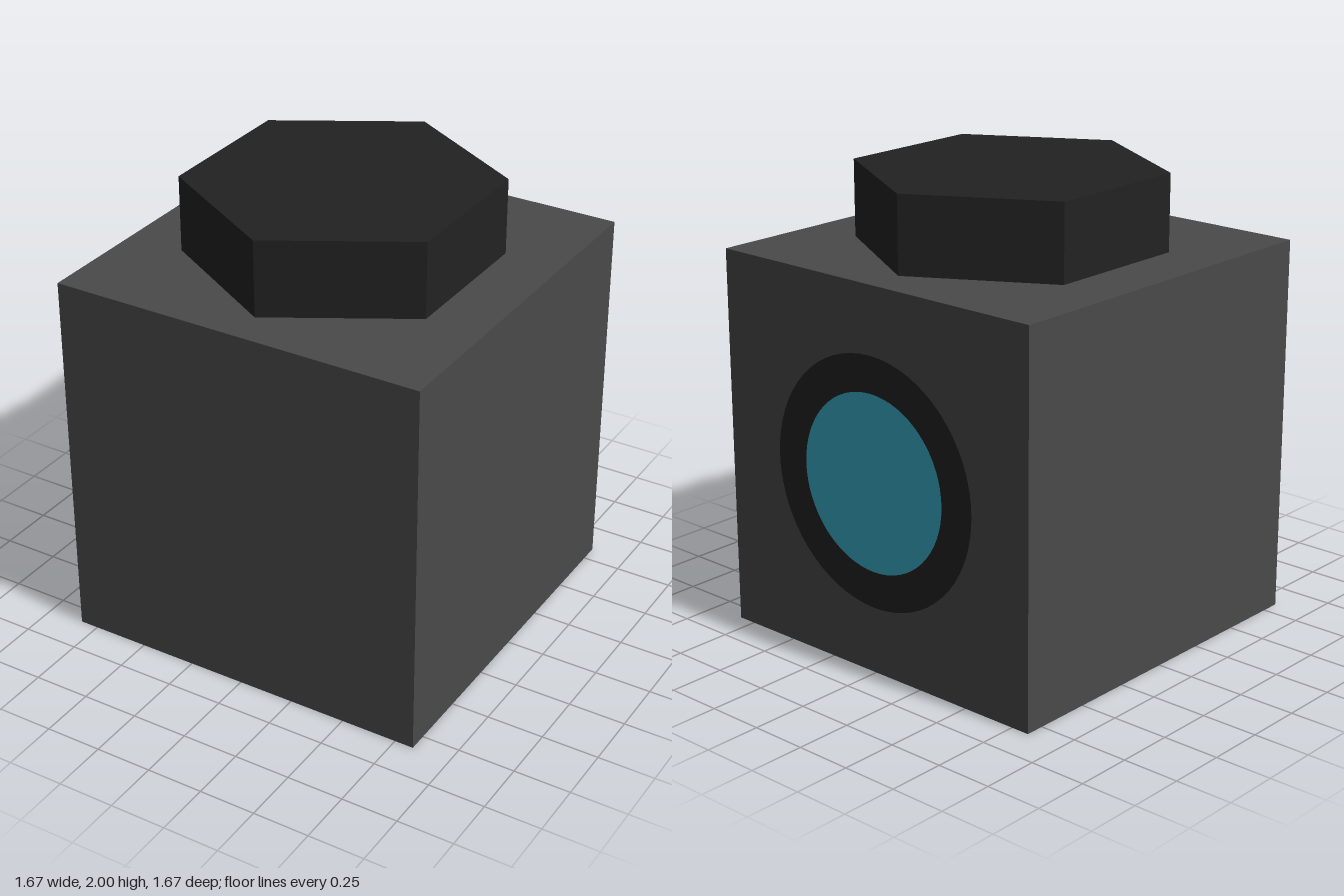
import * as THREE from 'three';

export function createModel() {
  const group = new THREE.Group();
  const material = (name, color) => {
    const m = new THREE.MeshStandardMaterial({ color });
    m.name = name;
    return m;
  };
  const bodyGrey = material('bodyGrey', 0x4a4a4a);
  const darkGrey = material('darkGrey', 0x222222);
  const lensBlue = material('lensBlue', 0x37acc6);

  const add = (name, geometry, mat, x, y, z) => {
    const mesh = new THREE.Mesh(geometry, mat);
    mesh.name = name;
    mesh.position.set(x, y, z);
    group.add(mesh);
    return mesh;
  };

  const size = 5 / 3;
  const half = size / 2;

  // Cube body
  add('body', new THREE.BoxGeometry(size, size, size), bodyGrey, 0, half, 0);

  // Hexagonal cap with corners pointing to front and back
  const capGeometry = new THREE.CylinderGeometry(2 / 3, 2 / 3, 1 / 3, 6).toNonIndexed();
  capGeometry.computeVertexNormals();
  add('cap', capGeometry, darkGrey, 0, size + 1 / 6, 0);

  // Round window on the back: dark rim around a blue lens
  const rim = add('lensRim', new THREE.RingGeometry(0.383, 0.542, 64), darkGrey, 0, half, -half - 0.002);
  const lens = add('lens', new THREE.CircleGeometry(0.383, 64), lensBlue, 0, half, -half - 0.002);
  rim.rotation.y = lens.rotation.y = Math.PI;

  return group;
}
